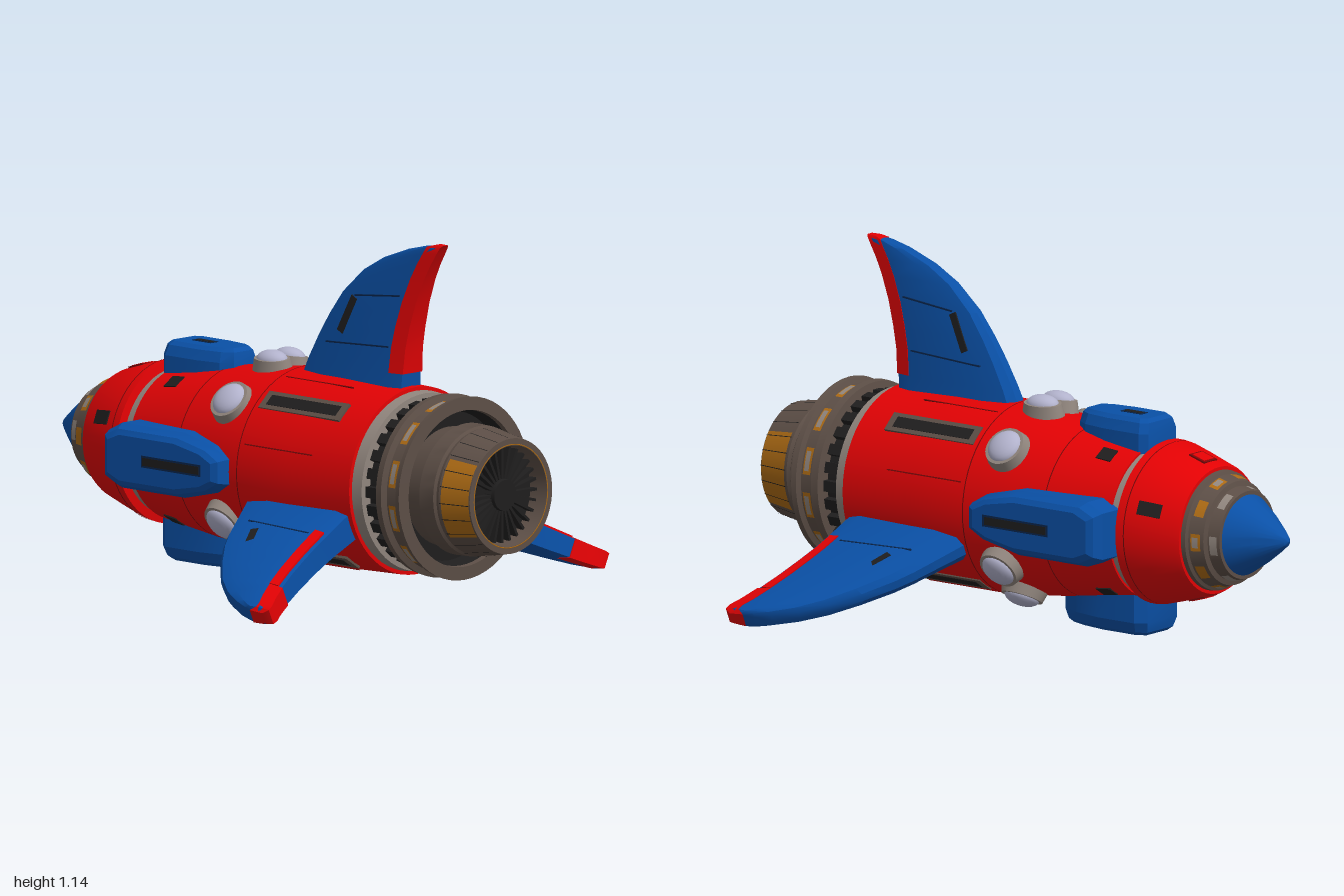
import * as THREE from 'three';
import { toCreasedNormals } from 'three/addons/utils/BufferGeometryUtils.js';

const AXIS_Y = 0.375;
const mat = (name, color) => Object.assign(new THREE.MeshStandardMaterial({ color }), { name });
const M = {
  red: mat('hull red', 0xe20204),
  darkRed: mat('panel seam', 0x7a0608),
  blue: mat('fin blue', 0x0a50a6),
  darkBlue: mat('blue panel seam', 0x08264e),
  brown: mat('engine brown', 0x5c4e46),
  tan: mat('trim grey', 0x90857d),
  orange: mat('worn orange', 0xac6a14),
  dark: mat('dark metal', 0x1f1e1e),
  glass: mat('dome pale grey', 0xb2b2cc),
};

function mesh(parent, name, geo, material, x = 0, y = 0, z = 0) {
  const m = new THREE.Mesh(geo, material);
  m.name = name;
  m.position.set(x, y, z);
  parent.add(m);
  return m;
}

// Turned part along z; profile is [z, radius] pairs
function turned(profile, start = 0, length = Math.PI * 2) {
  const pts = profile.map(([z, r]) => new THREE.Vector2(r, z));
  const segs = Math.max(3, Math.round(56 * length / (Math.PI * 2)));
  return toCreasedNormals(new THREE.LatheGeometry(pts, segs, start, length).rotateX(Math.PI / 2), 0.45);
}

// Skin over loops of [x, y, z] corners, capped at both ends
function loft(loops, crease = 0.6) {
  const n = loops[0].length, idx = [], last = (loops.length - 1) * n;
  for (let j = 0; j < loops.length - 1; j++) for (let i = 0; i < n; i++) {
    const a = j * n + i, b = j * n + (i + 1) % n;
    idx.push(a, b, b + n, a, b + n, a + n);
  }
  for (let i = 1; i < n - 1; i++) idx.push(0, i + 1, i, last, last + i, last + i + 1);
  const g = new THREE.BufferGeometry();
  g.setAttribute('position', new THREE.Float32BufferAttribute(loops.flat(2), 3));
  g.setIndex(idx);
  return toCreasedNormals(g, crease);
}

// Group whose local +y points outward from the rocket axis at an angle from +x
function radial(parent, name, degrees) {
  const g = new THREE.Group();
  g.name = name;
  g.rotation.z = THREE.MathUtils.degToRad(degrees - 90);
  parent.add(g);
  return g;
}

// Fin rows: radius, leading z, trailing z, half thickness
const TOP_FIN = [[0.27, 0.075, 0.55, 0.058], [0.345, 0.11, 0.555, 0.053], [0.425, 0.155, 0.562, 0.048],
  [0.495, 0.2, 0.577, 0.044], [0.575, 0.26, 0.6, 0.038], [0.655, 0.35, 0.632, 0.032],
  [0.705, 0.44, 0.658, 0.028], [0.745, 0.55, 0.683, 0.025], [0.762, 0.62, 0.696, 0.022], [0.769, 0.675, 0.702, 0.015]];
const SIDE_FIN = [[0.27, 0.075, 0.555, 0.058], [0.41, 0.138, 0.567, 0.05], [0.48, 0.17, 0.576, 0.047],
  [0.54, 0.205, 0.587, 0.045], [0.63, 0.275, 0.607, 0.042], [0.71, 0.35, 0.63, 0.039],
  [0.77, 0.43, 0.652, 0.036], [0.81, 0.51, 0.672, 0.034], [0.829, 0.565, 0.674, 0.031], [0.838, 0.605, 0.652, 0.022]];

// redSide 0 paints the whole trailing edge, 1 or -1 the tip and a stripe on that face
function fin(parent, name, degrees, rows, redSide) {
  const g = radial(parent, name, degrees);
  mesh(g, 'finBlade', loft(rows.map(([r, l, t, h]) => {
    const c = t - l;
    const side = [[h * 0.78, t], [h, t - Math.min(0.05, c * 0.3)], [h, l + c * 0.25], [h * 0.75, l + c * 0.05], [h * 0.3, l]];
    return [...side.map(([x, z]) => [x, r, z]), ...side.reverse().map(([x, z]) => [-x, r, z])];
  })), M.blue);
  // Red cap wrapping the bevelled trailing edge
  const cap = (part, from) => mesh(g, part, loft(rows.slice(from).map(([r, l, t, h]) => {
    const z1 = t + 0.004, z0 = Math.max(t - 0.05, l - 0.004), y = r + (h < 0.024 ? 0.003 : 0);
    return [[h * 0.83, y, z1], [h * 1.04, y, z0], [-h * 1.04, y, z0], [-h * 0.83, y, z1]];
  })), M.red);
  if (redSide === 0) cap('finTrailingEdge', 1);
  else {
    cap('finTip', 5);
    // Thin stripe on the upper face, just ahead of the trailing edge
    const stripe = rows.slice(1, 6).map(([r, , t, h]) => {
      const loop = [[h * 0.9 + 0.004, r, t - 0.014], [h + 0.004, r, t - 0.05], [h * 0.9, r, t - 0.05], [h * 0.8, r, t - 0.014]];
      return redSide > 0 ? loop : loop.reverse().map(([x, y, z]) => [-x, y, z]);
    });
    mesh(g, 'finStripe', loft(stripe), M.red);
  }
  // Seams and slot on both faces
  for (const s of [-1, 1]) {
    const slot = mesh(g, 'finSlot', new THREE.BoxGeometry(0.008, 0.13, 0.026), M.dark, s * 0.042, 0.51, 0.31);
    slot.rotation.x = 0.45;
    slot.rotation.z = s * 0.07;
    for (const [r, z, len, tilt] of [[0.42, 0.36, 0.28, 0.05], [0.585, 0.44, 0.2, 0.1]]) {
      const seam = mesh(g, 'finSeam', new THREE.BoxGeometry(0.006, 0.005, len), M.darkBlue,
        s * (0.0475 - (r - 0.42) * 0.052), r, z);
      seam.rotation.x = -tilt;
    }
  }
}

// Blister pod: outline is [half width, z] from rear to front
function pod(parent, name, degrees, outer, outline, slotWidth, slotLength, slotZ) {
  const g = radial(parent, name, degrees);
  const zs = outline.map(p => p[1]), mid = (Math.max(...zs) + Math.min(...zs)) / 2;
  const loop = (y, s, sz) => [...outline.map(([x, z]) => [x * s, y, mid + (z - mid) * sz]),
    ...[...outline].reverse().map(([x, z]) => [-x * s, y, mid + (z - mid) * sz])];
  mesh(g, 'podShell', loft([loop(0.2, 1, 1), loop(outer - 0.045, 1, 1), loop(outer - 0.012, 0.86, 0.95),
    loop(outer, 0.7, 0.87)], 0.3), M.blue);
  mesh(g, 'podSlotFrame', new THREE.BoxGeometry(slotWidth + 0.012, 0.004, slotLength + 0.015), M.darkBlue, 0, outer, slotZ);
  mesh(g, 'podSlot', new THREE.BoxGeometry(slotWidth, 0.006, slotLength), M.dark, 0, outer, slotZ);
}

// Flat collar with a shallow dome; width squeezes it across the hull
function dome(parent, degrees, width, lift) {
  const g = radial(parent, 'dome', degrees);
  mesh(g, 'domeCollar', toCreasedNormals(new THREE.CylinderGeometry(0.068, 0.08, 0.05, 28).scale(width, 1, 1), 0.5),
    M.tan, 0, 0.298 + lift, -0.03);
  mesh(g, 'domeGlass', new THREE.SphereGeometry(0.059, 24, 12).scale(width, 0.52, 1), M.glass, 0, 0.318 + lift, -0.03);
}

export function createModel() {
  const root = new THREE.Group();
  root.name = 'rocket';
  const ship = new THREE.Group();
  ship.name = 'rocketBody';
  ship.position.y = AXIS_Y;
  root.add(ship);

  // Nose to tail hull sections
  mesh(ship, 'noseCone', turned([[-1, 0], [-0.992, 0.016], [-0.96, 0.042], [-0.9, 0.086], [-0.83, 0.13], [-0.82, 0.1]]), M.blue);
  mesh(ship, 'noseCollar', turned([[-0.83, 0.1], [-0.83, 0.142], [-0.79, 0.152], [-0.785, 0.168], [-0.735, 0.182],
    [-0.73, 0.192], [-0.71, 0.195], [-0.7, 0.15]]), M.brown);
  mesh(ship, 'forwardHull', turned([[-0.715, 0.15], [-0.715, 0.205], [-0.7, 0.213], [-0.6, 0.243], [-0.53, 0.262],
    [-0.505, 0.265], [-0.495, 0.2]]), M.red);
  mesh(ship, 'hullJoint', turned([[-0.5, 0.238], [-0.45, 0.245]]), M.tan);
  mesh(ship, 'mainHull', turned([[-0.465, 0.2], [-0.465, 0.25], [-0.3, 0.271], [-0.1, 0.293], [0.08, 0.31],
    [0.3, 0.31], [0.575, 0.302], [0.58, 0.2]]), M.red);
  mesh(ship, 'rearCollar', turned([[0.575, 0.29], [0.615, 0.286], [0.62, 0.2]]), M.tan);
  mesh(ship, 'engineNeck', turned([[0.61, 0.25], [0.7, 0.25]]), M.dark);
  mesh(ship, 'engineRing', turned([[0.675, 0.24], [0.685, 0.292], [0.71, 0.295], [0.718, 0.276], [0.765, 0.276],
    [0.773, 0.292], [0.79, 0.295], [0.792, 0.252], [0.72, 0.245]]), M.brown);
  mesh(ship, 'engineWell', turned([[0.788, 0.253], [0.72, 0.24], [0.72, 0.18]]), M.dark);
  mesh(ship, 'nozzle', turned([[0.71, 0.19], [0.79, 0.2], [0.8, 0.212], [0.86, 0.21], [0.867, 0.202], [0.88, 0.206],
    [1, 0.186], [1, 0.163], [0.93, 0.152]]), M.brown);
  mesh(ship, 'fanBack', turned([[0.935, 0.16], [0.935, 0]]), M.dark);

  // Engine fan and neck ribs
  for (let i = 0; i < 28; i++) {
    const a = i / 28 * Math.PI * 2;
    const blade = mesh(ship, 'fanBlade', new THREE.BoxGeometry(0.11, 0.009, 0.025), M.dark,
      Math.cos(a) * 0.1, Math.sin(a) * 0.1, 0.95);
    blade.rotation.z = a;
    const rib = mesh(ship, 'neckRib', new THREE.BoxGeometry(0.025, 0.035, 0.06), M.dark,
      Math.cos(a) * 0.258, Math.sin(a) * 0.258, 0.648);
    rib.rotation.z = a;
  }
  mesh(ship, 'fanHub', new THREE.CylinderGeometry(0.05, 0.055, 0.04, 24).rotateX(Math.PI / 2), M.dark, 0, 0, 0.955);

  // Worn panels wrapped round the collars and nozzle
  const wrap = (name, count, offset, cover, profile, material) => {
    for (let i = 0; i < count; i++)
      mesh(ship, name, turned(profile, (i + offset) / count * Math.PI * 2, cover / count * Math.PI * 2), material);
  };
  wrap('ringPanel', 12, 0.2, 0.6, [[0.727, 0.279], [0.757, 0.279]], M.orange);
  wrap('ringPanelCentre', 12, 0.28, 0.44, [[0.733, 0.281], [0.751, 0.281]], M.tan);
  wrap('nosePanel', 10, 0.2, 0.5, [[-0.776, 0.174], [-0.744, 0.183]], M.orange);
  wrap('nosePanelCentre', 5, 0.15, 0.15, [[-0.77, 0.178], [-0.75, 0.1835]], M.tan);
  wrap('noseTrim', 6, 0.2, 0.4, [[-0.822, 0.147], [-0.797, 0.153]], M.tan);
  wrap('nozzlePanel', 2, 0.29, 0.42, [[0.89, 0.2065], [0.997, 0.1885]], M.orange);
  wrap('nozzleRib', 24, 0.2, 0.05, [[0.885, 0.2085], [0.998, 0.19]], M.dark);
  mesh(ship, 'nozzleLip', new THREE.TorusGeometry(0.166, 0.003, 6, 48), M.orange, 0, 0, 0.998);

  // Hull seams
  for (const [z, r] of [[-0.535, 0.2625], [-0.22, 0.2805], [0.08, 0.3115]])
    mesh(ship, 'hullSeam', turned([[z - 0.002, r], [z + 0.002, r]]), M.darkRed);
  for (const a of [18, 70, 110, 162, -75, -105])
    mesh(radial(ship, 'lengthSeam', a), 'hullSeamLine', new THREE.BoxGeometry(0.004, 0.006, 0.3), M.darkRed, 0, 0.308, 0.25);

  // Long slots and small hatches on the hull
  for (const a of [48, 132, -57, -123]) {
    const g = radial(ship, 'hullVent', a);
    mesh(g, 'ventFrame', new THREE.BoxGeometry(0.07, 0.01, 0.36), M.brown, 0, 0.307, 0.28);
    mesh(g, 'ventSlot', new THREE.BoxGeometry(0.04, 0.012, 0.31), M.dark, 0, 0.3075, 0.28);
  }
  const hatch = (degrees, part, w, len, r, z, tilt, material) =>
    mesh(radial(ship, 'hatch', degrees), part, new THREE.BoxGeometry(w, 0.008, len), material, 0, r, z).rotation.x = -tilt;
  for (const a of [58, 122, -58, -122]) hatch(a, 'hullHatch', 0.05, 0.055, 0.261, -0.37, 0.12, M.dark);
  for (const a of [22, 158]) hatch(a, 'forwardHatch', 0.045, 0.08, 0.239, -0.61, 0.29, M.dark);
  for (const a of [90, -90]) {
    hatch(a, 'hatchFrame', 0.065, 0.065, 0.2265, -0.65, 0.29, M.darkRed);
    hatch(a, 'hatchDoor', 0.05, 0.05, 0.2285, -0.65, 0.29, M.red);
  }

  // Domes: a narrow pair on top, three singles down each flank
  for (const a of [83, 97]) dome(ship, a, 0.68, 0.008);
  for (const a of [43, 137, -34, -146, -63, -117]) dome(ship, a, 1, 0);

  // Blister pods
  const sidePod = [[0.04, 0.04], [0.075, -0.02], [0.105, -0.15], [0.105, -0.43], [0.075, -0.49]];
  pod(ship, 'leftPod', 0, 0.356, sidePod, 0.026, 0.25, -0.17);
  pod(ship, 'rightPod', 180, 0.356, sidePod, 0.026, 0.25, -0.17);
  pod(ship, 'topPod', 90, 0.337, [[0.05, -0.19], [0.075, -0.23], [0.09, -0.32], [0.09, -0.46], [0.07, -0.485]], 0.022, 0.07, -0.37);
  pod(ship, 'bottomPod', -90, 0.368, [[0.05, -0.13], [0.08, -0.2], [0.1, -0.3], [0.1, -0.45], [0.075, -0.485]], 0.022, 0.08, -0.35);

  // Swept fins
  fin(ship, 'topFin', 90, TOP_FIN, 0);
  fin(ship, 'leftFin', -24, SIDE_FIN, -1);
  fin(ship, 'rightFin', 204, SIDE_FIN, 1);
  return root;
}
